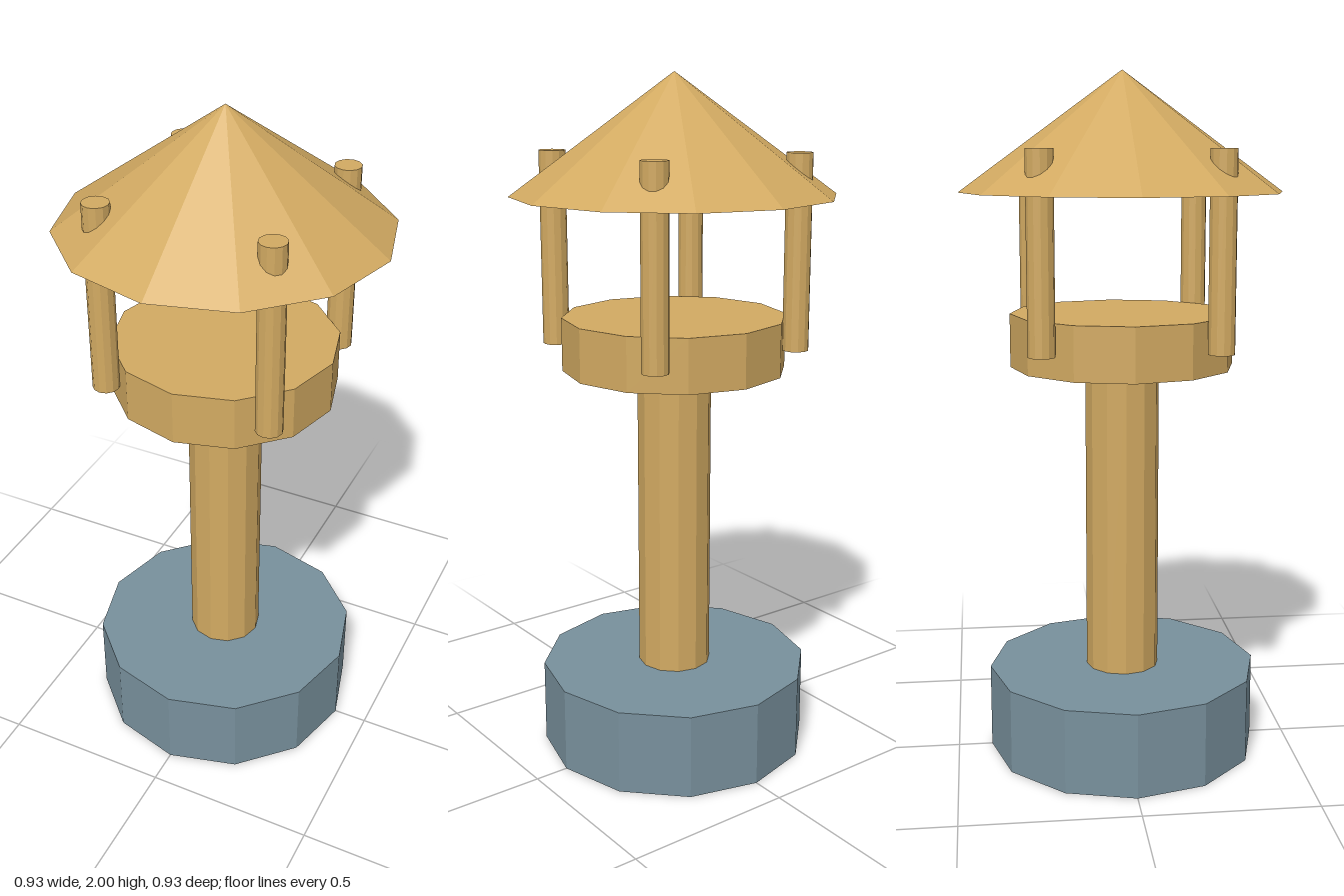
import * as THREE from 'three';

export function createModel() {
  const model = new THREE.Group();
  const wood = new THREE.MeshStandardMaterial({ color: 0xd2aa62, flatShading: true });
  wood.name = 'wood';
  const stone = new THREE.MeshStandardMaterial({ color: 0x78909c, flatShading: true });
  stone.name = 'stone';

  // Twelve-sided solid standing between two heights
  function addRound(name, material, topRadius, bottomRadius, y0, y1, x = 0, z = 0) {
    const geometry = topRadius === 0
      ? new THREE.ConeGeometry(bottomRadius, y1 - y0, 12)
      : new THREE.CylinderGeometry(topRadius, bottomRadius, y1 - y0, 12);
    const mesh = new THREE.Mesh(geometry, material);
    mesh.name = name;
    mesh.position.set(x, (y0 + y1) / 2, z);
    model.add(mesh);
  }

  // Foundation, column and tray
  addRound('base', stone, 0.4, 0.4, 0, 0.25);
  addRound('column', wood, 0.108, 0.108, 0.25, 1.165);
  addRound('tray', wood, 0.325, 0.325, 1.165, 1.32);

  // Four corner posts, running up through the roof
  for (const x of [-1, 1]) {
    for (const z of [-1, 1]) {
      const name = (z > 0 ? 'front' : 'back') + (x > 0 ? 'Left' : 'Right') + 'Post';
      addRound(name, wood, 0.038, 0.038, 1.23, 1.785, x * 0.247, z * 0.247);
    }
  }

  // Conical roof
  addRound('roof', wood, 0, 0.465, 1.663, 2);

  return model;
}
